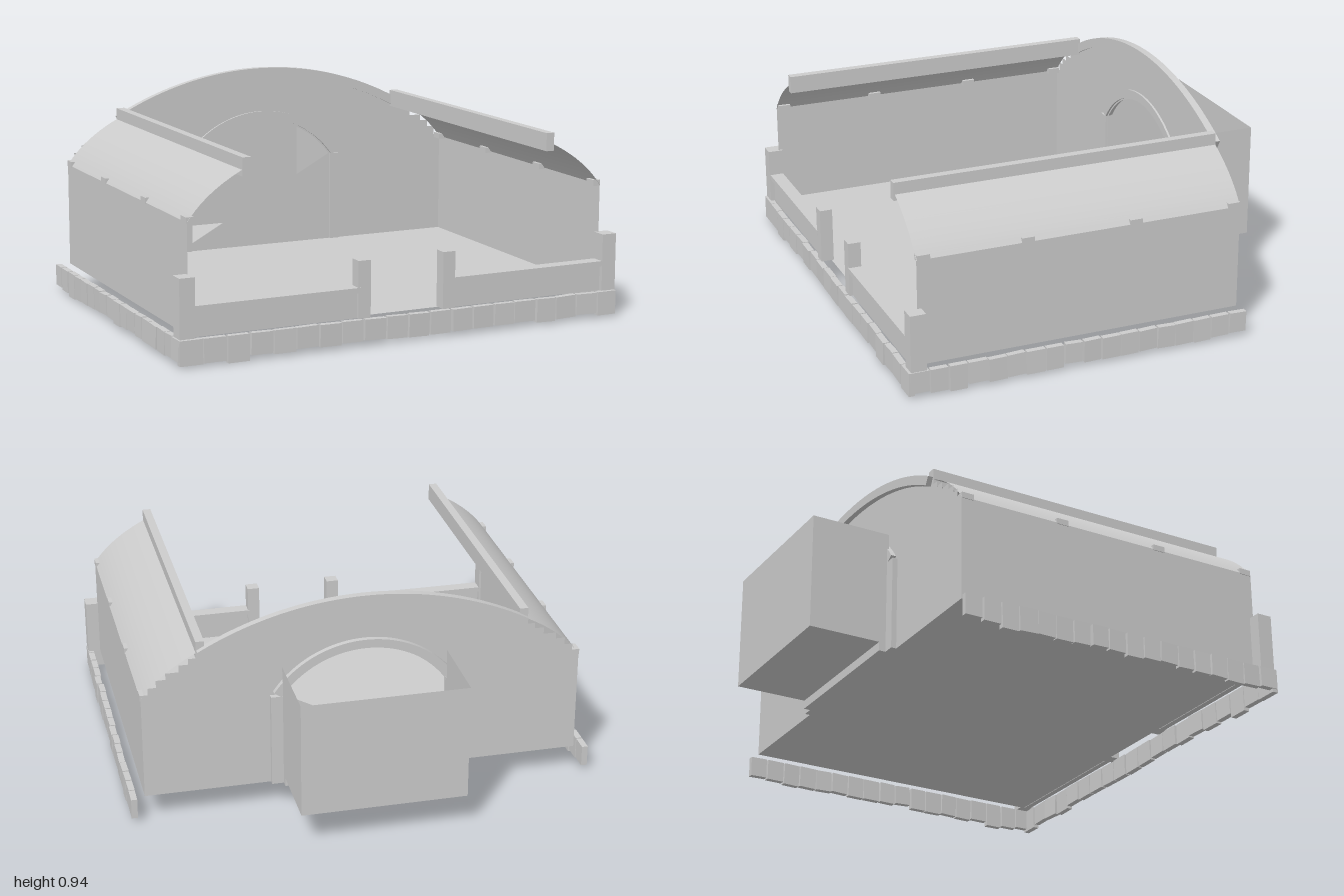
import * as THREE from 'three';

export function createModel() {
  const model = new THREE.Group();
  const stoneGrey = new THREE.MeshStandardMaterial({ color: 0xcccccc, side: THREE.DoubleSide });
  stoneGrey.name = 'stoneGrey';

  const add = (name, geometry, parent = model) => {
    const mesh = new THREE.Mesh(geometry, stoneGrey);
    mesh.name = name;
    parent.add(mesh);
    return mesh;
  };
  // Box given by its minimum and maximum on each axis
  const box = (name, x0, x1, y0, y1, z0, z1, parent) => {
    const mesh = add(name, new THREE.BoxGeometry(x1 - x0, y1 - y0, z1 - z0), parent);
    mesh.position.set((x0 + x1) / 2, (y0 + y1) / 2, (z0 + z1) / 2);
    return mesh;
  };
  const group = (name) => {
    const g = new THREE.Group();
    g.name = name;
    model.add(g);
    return g;
  };
  // Flat arched band standing in the xy plane
  const archBand = (name, cy, outer, inner, halfAngle, z0, z1) => {
    const s = new THREE.Shape();
    const a = Math.PI / 2 - halfAngle, b = Math.PI / 2 + halfAngle;
    s.absarc(0, cy, outer, a, b, false);
    s.absarc(0, cy, inner, b, a, true);
    const g = new THREE.ExtrudeGeometry(s, { depth: z1 - z0, bevelEnabled: false, curveSegments: 28 });
    add(name, g).position.z = z0;
  };

  const backZ = -0.555, frontZ = 0.855, wallX = 0.935, floorY = 0.112;

  // Main floor
  const floor = add('floor', new THREE.PlaneGeometry(2 * wallX, frontZ - backZ).rotateX(-Math.PI / 2));
  floor.position.set(0, floorY, (frontZ + backZ) / 2);

  // Back wall: stepped shoulders, arched top and arched doorway
  const steps = [[wallX, 0.56], [0.905, 0.57], [0.905, 0.61], [0.87, 0.61], [0.87, 0.642], [0.83, 0.642],
    [0.83, 0.67], [0.775, 0.67], [0.775, 0.7], [0.735, 0.7], [0.735, 0.725], [0.7, 0.725]];
  const wall = new THREE.Shape();
  wall.moveTo(-wallX, floorY);
  wall.lineTo(wallX, floorY);
  steps.forEach(([x, y]) => wall.lineTo(x, y));
  const wallHalf = Math.asin(0.68 / 1.42);
  wall.absarc(0, -0.51, 1.42, Math.PI / 2 - wallHalf, Math.PI / 2 + wallHalf, false);
  [...steps].reverse().forEach(([x, y]) => wall.lineTo(-x, y));
  const door = new THREE.Path();
  const doorHalf = Math.asin(0.345 / 0.425);
  door.moveTo(0.345, 0.15);
  door.absarc(0, 0.27, 0.425, Math.PI / 2 - doorHalf, Math.PI / 2 + doorHalf, false);
  door.lineTo(-0.345, 0.15);
  wall.holes.push(door);
  add('backWall', new THREE.ShapeGeometry(wall, 28)).position.z = backZ;

  // Arched trims and door posts
  archBand('roofArchTrim', -0.51, 1.45, 1.41, Math.asin(0.7 / 1.45), -0.578, -0.546);
  archBand('doorArchTrim', 0.27, 0.47, 0.432, 0.965, -0.578, -0.546);
  for (const s of [-1, 1]) {
    const x = s * 0.375;
    box('doorPost', x - 0.025, x + 0.025, floorY, 0.52, -0.578, -0.546);
  }
  box('doorSill', -0.35, 0.35, floorY, 0.15, -0.607, backZ);

  // Open-topped alcove behind the doorway
  const alcove = group('alcove');
  const aBack = -0.92, aDepth = 0.35, aMid = aBack + aDepth / 2;
  const aFloor = add('alcoveFloor', new THREE.PlaneGeometry(0.7, aDepth).rotateX(-Math.PI / 2), alcove);
  aFloor.position.set(0, 0.15, aMid);
  const aWall = add('alcoveBack', new THREE.PlaneGeometry(0.7, 0.5).rotateY(Math.PI), alcove);
  aWall.position.set(0, 0.4, aBack);
  for (const s of [-1, 1]) {
    const side = add('alcoveSide', new THREE.PlaneGeometry(aDepth, 0.5).rotateY(s * Math.PI / 2), alcove);
    side.position.set(s * 0.35, 0.4, aMid);
  }

  // Side walls, curved eaves, beams and brackets
  for (const s of [-1, 1]) {
    const side = add('sideWall', new THREE.PlaneGeometry(frontZ - backZ, 0.56 - floorY).rotateY(s * Math.PI / 2));
    side.position.set(s * wallX, (0.56 + floorY) / 2, (frontZ + backZ) / 2);

    const curve = new THREE.QuadraticBezierCurve(
      new THREE.Vector2(wallX, 0.56), new THREE.Vector2(0.855, 0.675), new THREE.Vector2(0.69, 0.755));
    const pts = curve.getPoints(10);
    const eave = new THREE.PlaneGeometry(1, 1, 10, 1);
    const p = eave.attributes.position;
    for (let i = 0; i < p.count; i++) {
      const q = pts[s > 0 ? 10 - (i % 11) : i % 11];
      p.setXYZ(i, s * q.x, q.y, i < 11 ? backZ : frontZ);
    }
    eave.computeVertexNormals();
    add('curvedEave', eave);

    const bx = s * 0.685;
    box('roofBeam', bx - 0.018, bx + 0.018, 0.722, 0.798, backZ, 0.86);
    for (const z of [0.825, 0.385, -0.085, -0.527]) {
      box('eaveBracket', s * 0.922 - 0.016, s * 0.922 + 0.016, 0.555, 0.58, z - 0.027, z + 0.027);
    }

    // Front fence half with posts, rail and panel
    const fence = group(s > 0 ? 'leftFence' : 'rightFence');
    const span = (a, b) => (s > 0 ? [a, b] : [-b, -a]);
    box('cornerPost', ...span(0.925, 0.99), floorY, 0.355, 0.838, 0.905, fence);
    box('gatePost', ...span(0.165, 0.22), floorY, 0.35, 0.845, 0.9, fence);
    box('fenceRail', ...span(0.21, 0.93), 0.218, 0.24, 0.842, 0.902, fence);
    box('fencePanel', ...span(0.21, 0.93), floorY, 0.22, 0.858, 0.885, fence);
  }

  // Rough foundation stones with slightly uneven sizes and tilts
  let seed = 7;
  const rand = () => (seed = (seed * 16807) % 2147483647) / 2147483647;
  const stoneRow = (name, length, count) => {
    const row = group(name);
    const step = length / count;
    for (let i = 0; i < count; i++) {
      const x = -length / 2 + (i + 0.5) * step;
      const bottom = i === 2 ? 0 : 0.008 + 0.016 * rand();
      const half = step * (0.44 + 0.05 * rand());
      const shift = 0.006 * (rand() - 0.5);
      const stone = box('foundationStone', x - half, x + half, bottom, 0.11, shift - 0.013, shift + 0.013, row);
      if (i > 2) stone.rotation.set(0.05 * (rand() - 0.5), 0.04 * (rand() - 0.5), 0.07 * (rand() - 0.5));
    }
    return row;
  };
  stoneRow('frontStones', 1.99, 20).position.set(0, 0, 0.902);
  for (const s of [-1, 1]) {
    const row = stoneRow(s > 0 ? 'leftStones' : 'rightStones', 1.485, 18);
    row.rotation.y = s * Math.PI / 2;
    row.position.set(s * 0.981, 0, 0.168);
  }

  return model;
}
